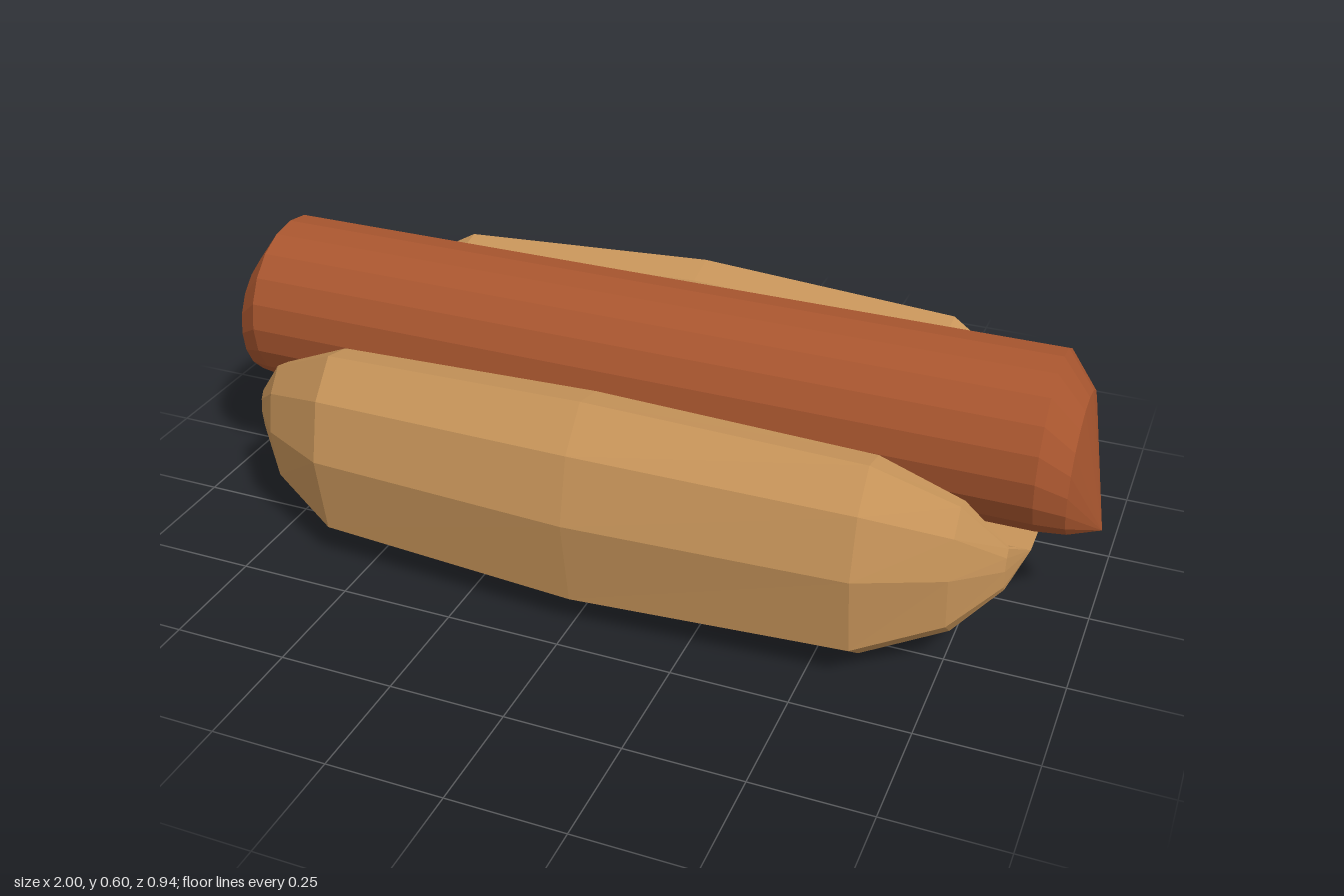
import * as THREE from 'three';

// Skin a list of equal-length closed rings of [x, y, z] points
function loft(rings, material, name) {
  const n = rings[0].length;
  const index = [];
  for (let i = 0; i < rings.length - 1; i++) {
    for (let j = 0; j < n; j++) {
      const k = (j + 1) % n;
      const a = i * n + j, b = i * n + k, c = a + n, d = b + n;
      index.push(a, b, c, b, d, c);
    }
  }
  const geometry = new THREE.BufferGeometry();
  geometry.setAttribute('position', new THREE.Float32BufferAttribute(rings.flat(2), 3));
  geometry.setIndex(index);
  geometry.computeVertexNormals();
  const mesh = new THREE.Mesh(geometry, material);
  mesh.name = name;
  return mesh;
}

// Mirror [x, ...sizes] stations from the middle out to both ends
function mirrorStations(half) {
  const left = half.filter(([x]) => x > 0).map(([x, ...s]) => [-x, ...s]).reverse();
  return [...left, ...half];
}

export function createModel() {
  const bread = new THREE.MeshStandardMaterial({ color: 0xc8955a, flatShading: true });
  bread.name = 'bread';
  const meat = new THREE.MeshStandardMaterial({ color: 0xa9562f, flatShading: true });
  meat.name = 'meat';

  const group = new THREE.Group();
  group.name = 'sausageInBun';

  // Bun: U-shaped section as [z, y], from the floor over one lip to the base
  const halfSection = [
    [0.125, 0.22], [0.22, 0.28], [0.22, 0.4], [0.28, 0.483], [0.36, 0.5],
    [0.435, 0.415], [0.47, 0.27], [0.435, 0.07], [0.34, 0],
  ];
  const lipZ = 0.2, midY = 0.222;
  // Stations: x, depth scale about the lip, height scale about the floor
  const bunStations = mirrorStations([
    [0, 1, 1], [0.59, 0.87, 0.91], [0.76, 0.51, 0.6], [0.85, 0.13, 0.2], [0.88, 0, 0],
  ]);
  const bunRings = bunStations.map(([x, sz, sy]) => {
    const side = halfSection.map(([z, y], j) => [
      x,
      midY + (y - midY) * sy,
      j === 0 || sz === 0 ? 0.125 : lipZ + (z - lipZ) * sz,
    ]);
    const otherSide = side.map(([px, y, z]) => [px, y, -z]).reverse();
    return [...side, ...otherSide];
  });
  group.add(loft(bunRings, bread, 'bun'));

  // Sausage: 20-sided bar whose ends taper towards its underside
  const radius = 0.189, bottom = 0.222, sides = 20;
  const sausageStations = mirrorStations([[0.88, 1], [0.94, 0.79], [1, 0]]);
  const sausageRings = sausageStations.map(([x, s]) =>
    Array.from({ length: sides }, (_, j) => {
      const a = (j / sides) * Math.PI * 2;
      return [x, bottom + radius * s * (1 + Math.cos(a)), radius * s * Math.sin(a)];
    }));
  group.add(loft(sausageRings, meat, 'sausage'));

  return group;
}
